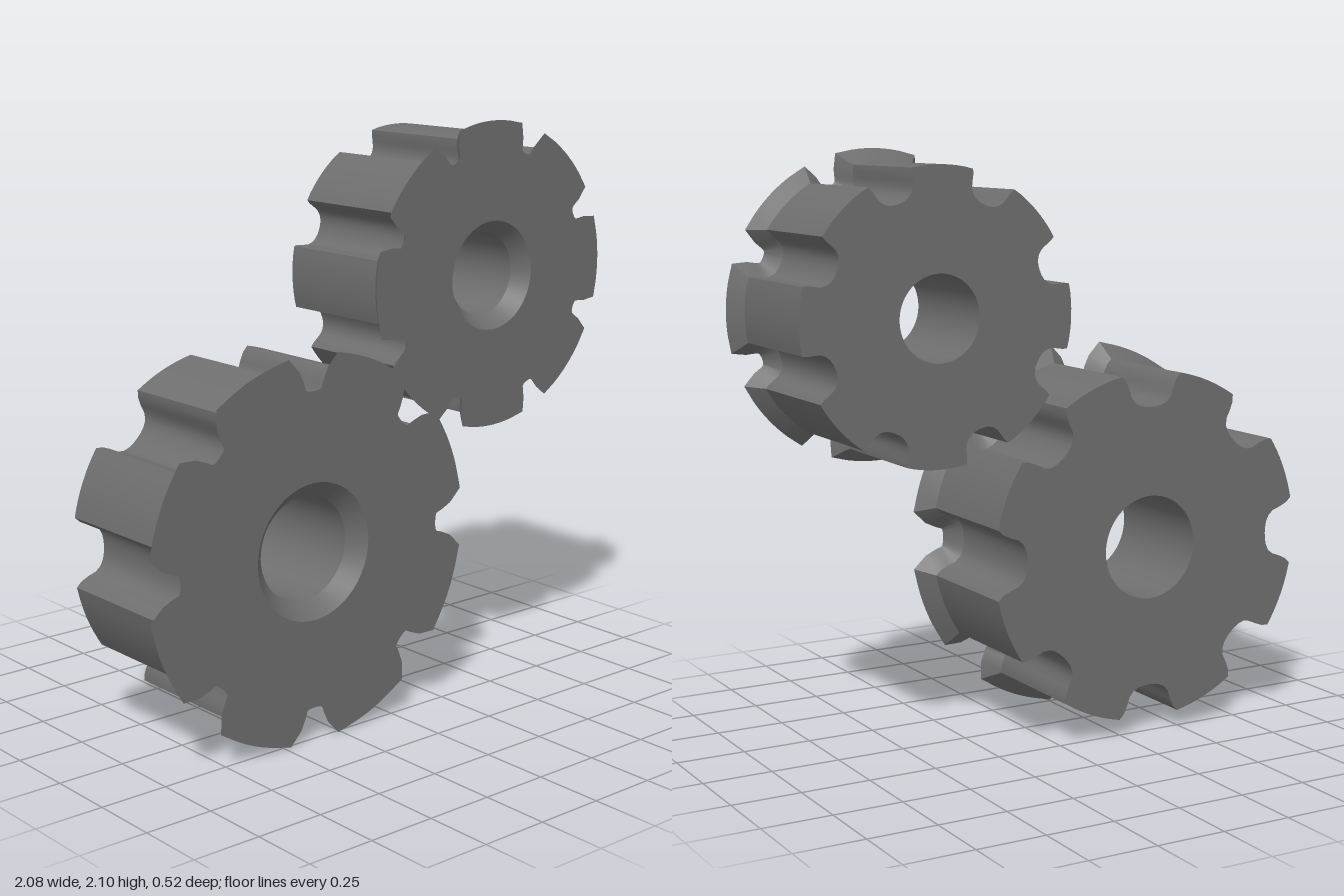
import * as THREE from 'three';
import { toCreasedNormals, mergeGeometries } from 'three/addons/utils/BufferGeometryUtils.js';

const BACK = -0.262;
const TEETH = 8;

// Gear outline, counter-clockwise: rounded notches joined by tooth arcs.
function gearOutline(radius, notch, rotation) {
  const points = [];
  const half = [...notch].reverse();
  const section = [...notch.map(([r, t]) => [r, -t]), ...half.slice(1)];
  const mouth = Math.atan2(notch[0][1], notch[0][0]);
  const pitch = (Math.PI * 2) / TEETH;
  for (let i = 0; i < TEETH; i++) {
    const a = rotation + i * pitch;
    for (const [r, t] of section) {
      points.push(new THREE.Vector2(
        r * Math.cos(a) - t * Math.sin(a), r * Math.sin(a) + t * Math.cos(a)));
    }
    for (let k = 1; k < 8; k++) {
      const b = a + mouth + (pitch - 2 * mouth) * k / 8;
      points.push(new THREE.Vector2(radius * Math.cos(b), radius * Math.sin(b)));
    }
  }
  return points;
}

// Mitred inward offset of a counter-clockwise outline.
function inset(points, d) {
  const n = points.length;
  const normal = (a, b) => new THREE.Vector2(a.y - b.y, b.x - a.x).normalize();
  return points.map((p, i) => {
    const n1 = normal(points[(i + n - 1) % n], p);
    const n2 = normal(p, points[(i + 1) % n]);
    const m = n1.clone().add(n2).normalize();
    return p.clone().addScaledVector(m, d / Math.max(0.6, m.dot(n1)));
  });
}

function circle(radius, n = 48) {
  return Array.from({ length: n }, (_, i) => {
    const a = (i / n) * Math.PI * 2;
    return new THREE.Vector2(radius * Math.cos(a), radius * Math.sin(a));
  });
}

// Walls between matching loops, each given as [points, z], from back to front.
function loft(loops, inward = false) {
  const n = loops[0][0].length;
  const position = [], index = [];
  for (const [points, z] of loops) for (const p of points) position.push(p.x, p.y, z);
  for (let l = 0; l < loops.length - 1; l++) {
    for (let i = 0; i < n; i++) {
      const a = l * n + i, b = l * n + (i + 1) % n;
      const quad = [a, b, b + n, a, b + n, a + n];
      index.push(...(inward ? quad.reverse() : quad));
    }
  }
  const g = new THREE.BufferGeometry();
  g.setAttribute('position', new THREE.Float32BufferAttribute(position, 3));
  g.setIndex(index);
  return toCreasedNormals(g, 0.6);
}

// Flat gear face with its round bore cut out.
function cap(outline, bore, z, flip) {
  const shape = new THREE.Shape(outline);
  shape.holes.push(new THREE.Path(bore));
  const g = new THREE.ShapeGeometry(shape);
  if (flip) {
    g.index.array.reverse();
    g.attributes.normal.array.forEach((v, i, arr) => { arr[i] = -v; });
  }
  g.translate(0, 0, z);
  const flat = g.toNonIndexed();
  flat.deleteAttribute('uv');
  return flat;
}

function makeGear({ name, x, y, radius, notch, rotation, front, chamfer, bore, rim }, material) {
  const gear = new THREE.Group();
  gear.name = name;
  const outline = gearOutline(radius, notch, rotation);
  const face = inset(outline, -chamfer);
  const hole = circle(bore), holeRim = circle(rim);
  const shoulder = front - 0.058;
  const add = (part, geometry) => {
    const mesh = new THREE.Mesh(geometry, material);
    mesh.name = part;
    gear.add(mesh);
  };
  add('toothedWall', loft([[outline, BACK], [outline, shoulder], [face, front]]));
  add('boreWall', loft([[hole, BACK], [hole, shoulder], [holeRim, front]], true));
  add('faces', mergeGeometries([cap(face, holeRim, front, false), cap(outline, hole, BACK, true)]));
  gear.position.set(x, y, 0);
  return gear;
}

export function createModel() {
  const model = new THREE.Group();
  model.name = 'gearPair';
  const steel = new THREE.MeshStandardMaterial({ color: 0x6e6e6e });
  steel.name = 'darkGrey';

  // Notch half-profiles: distance from the gear centre, half width
  model.add(makeGear({
    name: 'largeGear', x: -0.367, y: 0.627, radius: 0.636, rotation: 0, front: 0.262,
    notch: [[0.624, 0.125], [0.605, 0.107], [0.575, 0.093], [0.545, 0.083],
      [0.525, 0.066], [0.515, 0.045], [0.51, 0.022], [0.509, 0]],
    chamfer: 0.055, bore: 0.188, rim: 0.245,
  }, steel));
  model.add(makeGear({
    name: 'smallGear', x: 0.476, y: 1.492, radius: 0.508, rotation: Math.PI / 8 + 0.03, front: 0.25,
    notch: [[0.5, 0.086], [0.485, 0.078], [0.46, 0.071], [0.44, 0.064],
      [0.425, 0.052], [0.415, 0.036], [0.41, 0.018], [0.409, 0]],
    chamfer: 0.045, bore: 0.15, rim: 0.197,
  }, steel));
  return model;
}
